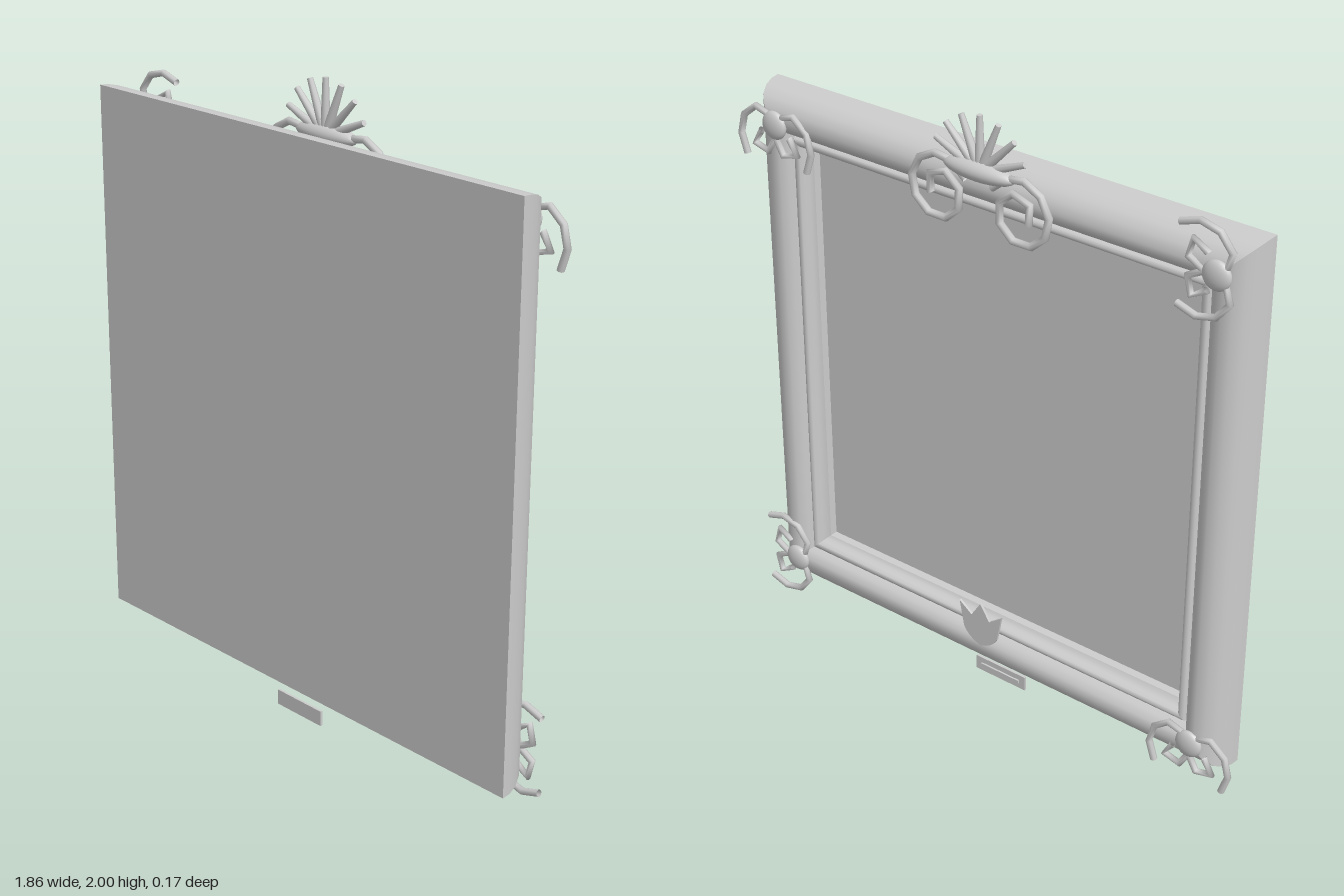
import * as THREE from 'three';

const HALF = 0.877, MID_Y = 0.978;

export function createModel() {
  const model = new THREE.Group();
  model.name = 'ornateFrame';
  const plaster = new THREE.MeshStandardMaterial({ color: 0xcccccc, side: THREE.DoubleSide });
  plaster.name = 'pale grey plaster';

  const add = (name, geometry, x = 0, y = 0, z = 0, parent = model) => {
    const mesh = new THREE.Mesh(geometry, plaster);
    mesh.name = name;
    mesh.position.set(x, y, z);
    parent.add(mesh);
    return mesh;
  };

  // Moulding runs as [inset from outer edge, z]; each run is smooth, with creases between runs
  const runs = [
    [[0, 0.085], [0.002, 0.055], [0.01, 0.022], [0.026, -0.01], [0.05, -0.032], [0.08, -0.042],
      [0.105, -0.036], [0.124, -0.018], [0.135, 0.005]],
    [[0.135, 0.005], [0.14, -0.008], [0.15, -0.013], [0.16, -0.008], [0.165, 0.008]],
    [[0.165, 0.008], [0.17, 0.022], [0.182, 0.03]],
    [[0.182, 0.03], [0.184, 0.056]],
  ];

  // One mitred side of the frame
  const railGeometry = (run) => {
    const position = [], index = [];
    run.forEach(([inset, z], i) => {
      const h = HALF - inset, a = i * 2;
      position.push(-h, h, z, h, h, z);
      if (i < run.length - 1) index.push(a, a + 1, a + 2, a + 1, a + 3, a + 2);
    });
    const g = new THREE.BufferGeometry();
    g.setAttribute('position', new THREE.Float32BufferAttribute(position, 3));
    g.setIndex(index);
    g.computeVertexNormals();
    return g;
  };
  ['topRail', 'leftRail', 'bottomRail', 'rightRail'].forEach((name, k) => {
    const rail = new THREE.Group();
    rail.name = name;
    rail.position.y = MID_Y;
    rail.rotation.z = -k * Math.PI / 2;
    runs.forEach((run) => add('moulding', railGeometry(run), 0, 0, 0, rail));
    model.add(rail);
  });

  // Flat backing and the recessed picture panel
  add('backing', new THREE.PlaneGeometry(2 * HALF, 2 * HALF), 0, MID_Y, 0.085);
  const panel = add('picturePanel', new THREE.PlaneGeometry(1.39, 1.39), 0, MID_Y, 0.055);
  panel.rotation.y = Math.PI;

  // Angular scroll swept through a few points
  const scroll = (points, radius) => new THREE.TubeGeometry(
    new THREE.CatmullRomCurve3(points.map(([x, y]) => new THREE.Vector3(x, y, 0))),
    points.length - 1, radius, 8);
  const squashedBall = (rx, ry, rz) => new THREE.SphereGeometry(1, 24, 16).scale(rx, ry, rz);

  // Corner ornaments: a boss with a mirrored pair of scrolls, opening down or towards +x
  const hook = [[0.12, -0.122], [0.141, -0.037], [0.093, 0.036], [0.03, 0.04], [-0.002, -0.02],
    [0.015, -0.08], [0.06, -0.1], [0.09, -0.06], [0.055, -0.03]];
  const hookGeometry = scroll(hook, 0.011);
  const mirrored = scroll(hook.map(([x, y]) => [-x, y]), 0.011);
  [[1, 1, 0], [-1, 1, 1], [1, -1, 1], [-1, -1, 0]].forEach(([sx, sy, turn]) => {
    const corner = new THREE.Group();
    corner.name = 'cornerOrnament';
    corner.position.set(0.78 * sx, MID_Y + 0.78 * sy, -0.04);
    corner.rotation.z = turn * Math.PI / 2;
    add('cornerScroll', hookGeometry, 0, 0, 0, corner);
    add('cornerScroll', mirrored, 0, 0, 0, corner);
    add('cornerBoss', squashedBall(0.045, 0.045, 0.02), 0, 0, -0.003, corner);
    model.add(corner);
  });

  // Crest: shell body, fan of rays, and a spiral on each side
  add('crestShell', squashedBall(0.125, 0.03, 0.035), 0, 1.835, -0.05);
  for (let i = -3; i <= 3; i++) {
    const angle = i * Math.PI / 8, length = 0.15;
    const reach = 0.02 + length / 2;
    const ray = add('crestRay', new THREE.CylinderGeometry(0.009, 0.015, length, 8),
      Math.sin(angle) * reach, 1.83 + Math.cos(angle) * reach, -0.046);
    ray.rotation.z = -angle;
  }
  for (const side of [1, -1]) {
    const spiral = [];
    for (let i = 0; i <= 12; i++) {
      const a = 2.6 - i * Math.PI / 4, r = 0.112 - 0.075 * (i / 12) ** 1.5;
      spiral.push([side * (0.142 + r * Math.cos(a)), 1.74 + r * Math.sin(a)]);
    }
    add('crestScroll', scroll(spiral, 0.012), 0, 0, -0.05);
  }

  // Pointed leaf plate on the bottom rail
  const leaf = new THREE.Shape();
  leaf.moveTo(0, 0.2);
  leaf.quadraticCurveTo(0.05, 0.215, 0.065, 0.25);
  [[0.082, 0.34], [0.035, 0.305], [0, 0.36], [-0.035, 0.305], [-0.082, 0.34], [-0.065, 0.25]]
    .forEach(([x, y]) => leaf.lineTo(x, y));
  leaf.quadraticCurveTo(-0.05, 0.215, 0, 0.2);
  add('leafPlate', new THREE.ExtrudeGeometry(leaf, { depth: 0.008, bevelEnabled: false, curveSegments: 4 }),
    0, 0, -0.05);

  // Small label below the frame, with a raised strip on its decorated face
  add('label', new THREE.BoxGeometry(0.195, 0.05, 0.008), 0, 0.028, 0.058);
  add('labelStrip', new THREE.BoxGeometry(0.15, 0.012, 0.006), 0, 0.028, 0.051);

  return model;
}
